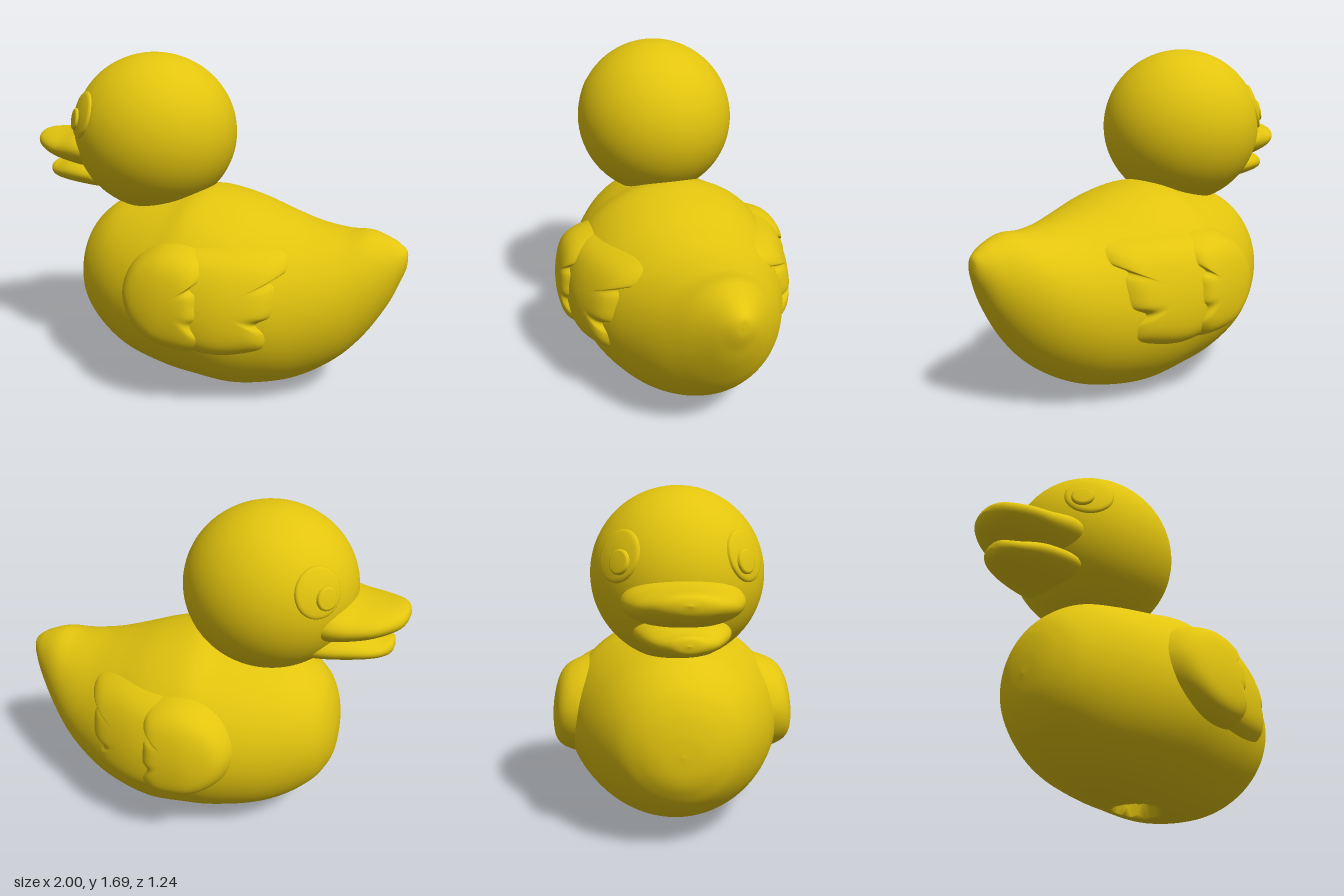
import * as THREE from 'three';

const material = new THREE.MeshStandardMaterial({ color: 0xe2c40e, roughness: 0.6, side: THREE.DoubleSide });

function gridGeometry(positions, rows, cols, flip = false) {
  const index = [];
  for (let i = 0; i < rows - 1; i++) {
    for (let j = 0; j < cols; j++) {
      const a = i * cols + j, b = i * cols + (j + 1) % cols;
      const c = a + cols, d = b + cols;
      if (flip) index.push(a, c, b, b, c, d);
      else index.push(a, b, c, b, d, c);
    }
  }
  const g = new THREE.BufferGeometry();
  g.setAttribute('position', new THREE.Float32BufferAttribute(positions, 3));
  g.setIndex(index);
  g.computeVertexNormals();
  return g;
}

// Smooth sections along x from stations [x, top, bottom, half width]
function sections(stations, count) {
  const curve = (f) => new THREE.CatmullRomCurve3(stations.map(f), false, 'catmullrom');
  const upper = curve((s) => new THREE.Vector3(s[0], s[1], s[3]));
  const lower = curve((s) => new THREE.Vector3(s[0], s[2], 0));
  return Array.from({ length: count + 1 }, (_, i) => {
    const u = upper.getPoint(i / count), l = lower.getPoint(i / count);
    return { x: u.x, c: (u.y + l.y) / 2, ry: Math.max((u.y - l.y) / 2, 0), w: Math.max(u.z, 0) };
  });
}

// Elliptical loft through the sections, with an optional rule per vertex
function loft(secs, cols, warp) {
  const positions = [];
  const p = new THREE.Vector3();
  for (const s of secs) {
    for (let j = 0; j < cols; j++) {
      const a = (j / cols) * Math.PI * 2;
      p.set(s.x, s.c + s.ry * Math.cos(a), s.w * Math.sin(a));
      if (warp) warp(p);
      positions.push(p.x, p.y, p.z);
    }
  }
  return gridGeometry(positions, secs.length, cols);
}

const bodySections = sections([
  [-0.72, 0.51, 0.51, 0], [-0.71, 0.62, 0.40, 0.11], [-0.68, 0.73, 0.32, 0.20],
  [-0.62, 0.825, 0.235, 0.29], [-0.5, 0.915, 0.14, 0.385], [-0.35, 0.955, 0.075, 0.465],
  [-0.15, 0.99, 0.035, 0.53], [0, 1.02, 0.015, 0.545], [0.2, 0.985, 0, 0.53],
  [0.4, 0.92, 0.035, 0.465], [0.55, 0.878, 0.095, 0.395], [0.7, 0.86, 0.2, 0.31],
  [0.82, 0.865, 0.335, 0.22], [0.92, 0.835, 0.5, 0.13], [0.97, 0.805, 0.62, 0.075],
  [0.995, 0.78, 0.69, 0.035], [1.0, 0.74, 0.74, 0],
], 160);

// Round air hole sunk into the underside
function airHole(p) {
  const r = Math.hypot(p.x, p.z);
  if (p.y > 0.3 || r >= 0.1) return;
  const k = r > 0 ? Math.min(0.1, r * 1.45) / r : 1;
  p.x *= k;
  p.z *= k;
  p.y += 0.14 * THREE.MathUtils.smoothstep(0.1 - r, 0, 0.03);
}

function bodySurface(x, y) {
  let i = bodySections.findIndex((s) => s.x >= x);
  i = Math.max(i, 1);
  const a = bodySections[i - 1], b = bodySections[i];
  const t = (x - a.x) / (b.x - a.x);
  const mix = (key) => THREE.MathUtils.lerp(a[key], b[key], t);
  const v2 = Math.min(((y - mix('c')) / mix('ry')) ** 2, 1);
  return { z: mix('w') * Math.sqrt(1 - v2), v2 };
}

// Raised pad that follows the flank of the body inside a closed outline
function flankPad(outline, cx, cy, thickness, side) {
  const curve = new THREE.CatmullRomCurve3(outline.map(([x, y]) => new THREE.Vector3(x, y, 0)), true);
  const rows = 25, cols = 144, positions = [];
  const rim = Array.from({ length: cols }, (_, j) => curve.getPoint(j / cols));
  for (let i = 0; i < rows; i++) {
    const r = 1 - (1 - i / (rows - 1)) ** 1.8;
    for (const q of rim) {
      const x = cx + r * (q.x - cx), y = cy + r * (q.y - cy);
      const { z, v2 } = bodySurface(x, y);
      const lift = thickness * (1 + v2) * (1 - r ** 8) - 0.015 * r ** 8;
      positions.push(x, y, side * (z + lift));
    }
  }
  return gridGeometry(positions, rows, cols, side > 0);
}

const wingOutline = [
  [0.16, 0.58], [0.155, 0.645], [0.125, 0.675], [0.165, 0.72], [0.15, 0.785], [0.06, 0.825],
  [-0.1, 0.82], [-0.23, 0.74], [-0.29, 0.6], [-0.25, 0.46], [-0.12, 0.35], [0.02, 0.32],
  [0.12, 0.335], [0.165, 0.4], [0.135, 0.48], [0.16, 0.52],
];
const featherOutline = [
  [0.47, 0.6], [0.465, 0.66], [0.445, 0.69], [0.5, 0.73], [0.49, 0.79], [0.42, 0.82],
  [0.2, 0.825], [0, 0.8], [-0.1, 0.6], [0, 0.36], [0.15, 0.315], [0.33, 0.33],
  [0.43, 0.37], [0.435, 0.44], [0.4, 0.49], [0.46, 0.53],
];

const headCentre = new THREE.Vector3(-0.325, 1.28, 0);
const headRadii = new THREE.Vector3(0.425, 0.405, 0.405);

// Shallow domed disc resting on the head in a given direction
function headDisc(direction, radius, height) {
  const R = 0.41, profile = [];
  for (let i = 0; i <= 10; i++) {
    const r = (radius - 0.006) * (i / 10);
    profile.push(new THREE.Vector2(r, Math.sqrt(R * R - r * r) - R + height));
  }
  const edge = Math.sqrt(R * R - radius * radius) - R;
  profile.push(new THREE.Vector2(radius, edge + height - 0.006), new THREE.Vector2(radius + 0.002, edge - 0.02));
  const g = new THREE.LatheGeometry(profile.reverse(), 48);
  const n = direction.clone().divide(headRadii).divide(headRadii).normalize();
  g.applyQuaternion(new THREE.Quaternion().setFromUnitVectors(new THREE.Vector3(0, 1, 0), n));
  const p = direction.clone().divideScalar(direction.clone().divide(headRadii).length()).add(headCentre);
  return g.translate(p.x, p.y, p.z);
}

export function createModel() {
  const model = new THREE.Group();
  model.name = 'bathDuck';
  const add = (name, geometry) => {
    const mesh = new THREE.Mesh(geometry, material);
    mesh.name = name;
    model.add(mesh);
    return mesh;
  };

  add('body', loft(bodySections, 128, airHole));

  const head = add('head', new THREE.SphereGeometry(1, 64, 48));
  head.geometry.scale(headRadii.x, headRadii.y, headRadii.z);
  head.position.copy(headCentre);

  // Beak halves run back into the head
  add('upperBeak', loft(sections([
    [-1.0, 1.225, 1.225, 0], [-0.985, 1.257, 1.185, 0.08], [-0.95, 1.27, 1.155, 0.14],
    [-0.87, 1.275, 1.125, 0.205], [-0.78, 1.285, 1.1, 0.24], [-0.65, 1.31, 1.08, 0.27],
    [-0.5, 1.29, 1.09, 0.24],
  ], 48), 64));
  add('lowerBeak', loft(sections([
    [-0.945, 1.055, 1.055, 0], [-0.93, 1.09, 1.018, 0.07], [-0.87, 1.1, 0.998, 0.13],
    [-0.75, 1.13, 0.985, 0.19], [-0.6, 1.13, 0.975, 0.215], [-0.45, 1.1, 0.97, 0.18],
  ], 40), 48));

  // Wings and eyes on both sides
  for (const side of [1, -1]) {
    const label = side > 0 ? 'Front' : 'Back';
    add('wing' + label, flankPad(wingOutline, -0.05, 0.57, 0.075, side));
    add('wingFeathers' + label, flankPad(featherOutline, 0.2, 0.58, 0.045, side));
    add('eye' + label, headDisc(new THREE.Vector3(-0.285, 0.11, side * 0.28), 0.118, 0.01));
    add('pupil' + label, headDisc(new THREE.Vector3(-0.305, 0.08, side * 0.26), 0.055, 0.022));
  }

  // The whole duck stands turned slightly
  model.rotation.y = -0.045;
  return model;
}
